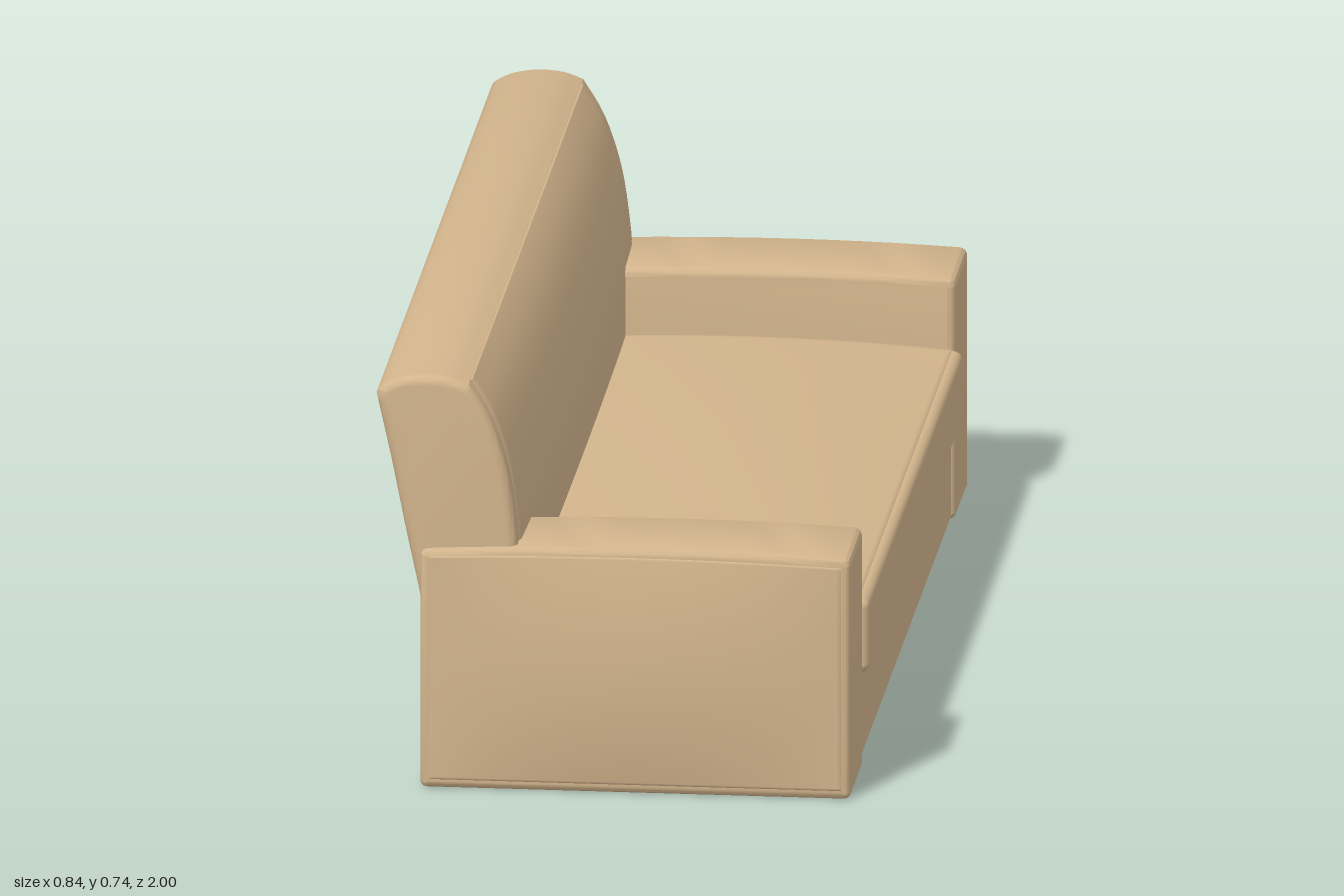
import * as THREE from 'three';
import { toCreasedNormals } from 'three/addons/utils/BufferGeometryUtils.js';
import { RoundedBoxGeometry } from 'three/addons/geometries/RoundedBoxGeometry.js';

const V = (x, y) => new THREE.Vector2(x, y);

export function createModel() {
  const sofa = new THREE.Group();
  sofa.name = 'sofa';
  const fabric = new THREE.MeshStandardMaterial({ color: 0xd2b48c });
  const cloth = new THREE.MeshStandardMaterial({ color: 0xd2b48c, side: THREE.DoubleSide });

  function add(name, geometry, material = fabric) {
    const mesh = new THREE.Mesh(geometry, material);
    mesh.name = name;
    sofa.add(mesh);
    return mesh;
  }

  function roundedBox(name, [x0, x1], [y0, y1], [z0, z1], r) {
    const mesh = add(name, new RoundedBoxGeometry(x1 - x0, y1 - y0, z1 - z0, 4, r));
    mesh.position.set((x0 + x1) / 2, (y0 + y1) / 2, (z0 + z1) / 2);
    return mesh;
  }

  // Side profile swept along z, with softened ends
  function sweep(shape, z0, z1, r) {
    const g = new THREE.ExtrudeGeometry(shape, {
      depth: z1 - z0 - 2 * r, bevelSize: r, bevelThickness: r, bevelOffset: -r,
      bevelSegments: 4, curveSegments: 12,
    });
    g.translate(0, 0, z0 + r);
    return toCreasedNormals(g, 0.6);
  }

  // Upholstered panel: place(u, v, tuck) maps u, v in -1..1 to a point;
  // rows gather at the border, and the border itself is tucked into the seam
  function panel(place) {
    const g = new THREE.PlaneGeometry(2, 2, 28, 28);
    const p = g.attributes.position;
    for (let i = 0; i < p.count; i++) {
      const u = Math.sin(p.getX(i) * Math.PI / 2);
      const v = Math.sin(p.getY(i) * Math.PI / 2);
      const tuck = Math.max(Math.abs(u), Math.abs(v)) > 0.9999 ? 0.005 : 0;
      p.setXYZ(i, ...place(u, v, tuck));
    }
    g.computeVertexNormals();
    return g;
  }

  // Base and seat
  roundedBox('base', [-0.337, 0.4], [0, 0.265], [-0.775, 0.775], 0.008);
  roundedBox('seatCushion', [-0.3, 0.42], [0.172, 0.306], [-0.78, 0.78], 0.016);
  add('seatTop', panel((u, v, tuck) => [
    0.045 - 0.358 * v,
    0.308 + (1 - v * v) * (0.014 + 0.02 * (1 - u * u)) - tuck,
    0.772 * u,
  ]), cloth);

  // Arms: gently crowned top, rounded corners
  const r = 0.014;
  const arm = new THREE.Shape();
  arm.moveTo(-0.343 + r, 0);
  arm.lineTo(0.408 - r, 0);
  arm.quadraticCurveTo(0.408, 0, 0.408, r);
  arm.lineTo(0.408, 0.434 - r);
  arm.quadraticCurveTo(0.408, 0.434, 0.408 - r, 0.436);
  arm.quadraticCurveTo(0.06, 0.452, -0.343 + r, 0.43);
  arm.quadraticCurveTo(-0.343, 0.428, -0.343, 0.428 - r);
  arm.lineTo(-0.343, r);
  arm.quadraticCurveTo(-0.343, 0, -0.343 + r, 0);

  for (const [side, s] of [['left', 1], ['right', -1]]) {
    const [z0, z1] = s > 0 ? [0.765, 0.976] : [-0.976, -0.765];
    add(side + 'Arm', sweep(arm, z0, z1, 0.014));
    // Padded outer side of the arm
    add(side + 'ArmPanel', panel((u, v, tuck) => [
      0.033 + 0.361 * u * s,
      0.218 + 0.202 * v + 0.008 * (1 - u * u) * (v + 1) / 2,
      s * (0.977 + 0.023 * (1 - u * u) * (1 - v * v) - tuck),
    ]), cloth);
  }

  // Backrest: leaning profile with rounded top
  const front = new THREE.SplineCurve([
    V(-0.174, 0.25), V(-0.174, 0.4), V(-0.178, 0.47), V(-0.193, 0.57), V(-0.222, 0.66), V(-0.26, 0.725),
  ]);
  const top = new THREE.SplineCurve([
    V(-0.26, 0.725), V(-0.295, 0.737), V(-0.34, 0.74), V(-0.385, 0.732), V(-0.415, 0.716), V(-0.421, 0.703),
  ]);
  const rear = new THREE.SplineCurve([
    V(-0.421, 0.703), V(-0.395, 0.585), V(-0.368, 0.45), V(-0.345, 0.34), V(-0.333, 0.25),
  ]);
  const outline = [front, top, rear].flatMap((c) => c.getPoints(20).slice(0, -1));
  outline.push(V(-0.333, 0.25));
  add('backrest', sweep(new THREE.Shape(outline), -0.96, 0.96, 0.016));

  // Padded front of the backrest, following the same curve
  add('backrestPanel', panel((u, v, tuck) => {
    const t = (v + 1) / 2;
    const p = front.getPoint(t);
    const n = front.getTangent(t);
    const out = 0.003 + 0.012 * (1 - u * u) * (1 - Math.pow(t, 4)) - tuck;
    return [p.x + n.y * out, p.y - n.x * out, -0.92 * u];
  }), cloth);

  return sofa;
}
